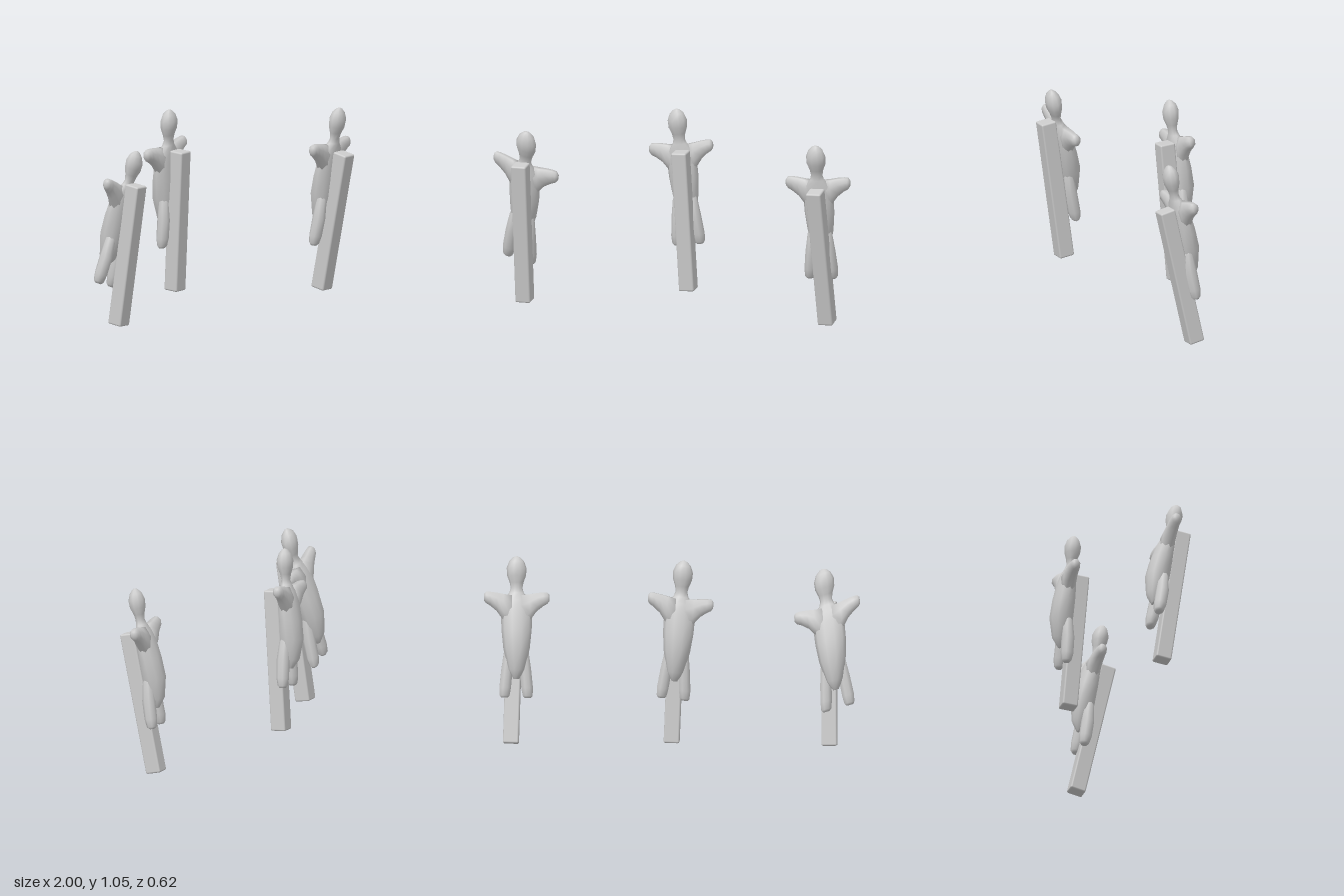
import * as THREE from 'three';
import { RoundedBoxGeometry } from 'three/addons/geometries/RoundedBoxGeometry.js';

const X = new THREE.Vector3(1, 0, 0), Y = new THREE.Vector3(0, 1, 0), Z = new THREE.Vector3(0, 0, 1);
const vec = (a) => new THREE.Vector3(...a);

// Closed skin over elliptical rings [x, y, z, ru, rv]; u cross v points along the path
function loft(rings, u, v, sides) {
  const pos = [], index = [], last = rings.length - 1;
  for (const [x, y, z, ru, rv] of rings) {
    for (let j = 0; j < sides; j++) {
      const a = ((j + 0.5) / sides) * Math.PI * 2;
      const p = new THREE.Vector3(x, y, z)
        .addScaledVector(u, ru * Math.cos(a)).addScaledVector(v, rv * Math.sin(a));
      pos.push(p.x, p.y, p.z);
    }
  }
  pos.push(...rings[0].slice(0, 3), ...rings[last].slice(0, 3));
  const c0 = rings.length * sides;
  for (let j = 0; j < sides; j++) {
    const k = (j + 1) % sides;
    for (let i = 0; i < last; i++) {
      const a = i * sides + j, b = i * sides + k;
      index.push(a, b, b + sides, a, b + sides, a + sides);
    }
    index.push(c0, k, j, c0 + 1, last * sides + j, last * sides + k);
  }
  const g = new THREE.BufferGeometry();
  g.setAttribute('position', new THREE.Float32BufferAttribute(pos, 3));
  g.setIndex(index);
  g.computeVertexNormals();
  return g;
}

// Head, neck and torso profile: [height, front z, back z, half width]
const PROFILE = [
  [0.10, -0.018, -0.035, 0.014], [0.15, 0.018, -0.070, 0.042], [0.26, 0.032, -0.092, 0.068],
  [0.36, 0.031, -0.084, 0.078], [0.46, 0.028, -0.067, 0.080], [0.515, 0.024, -0.050, 0.066],
  [0.55, 0.020, -0.034, 0.038], [0.575, 0.018, -0.026, 0.030], [0.605, 0.024, -0.031, 0.036],
  [0.64, 0.037, -0.041, 0.049], [0.68, 0.040, -0.044, 0.051], [0.715, 0.028, -0.033, 0.038],
  [0.735, 0.012, -0.015, 0.018],
];

function figureParts() {
  const body = PROFILE.map(([y, f, b, w]) => [0, y, (f + b) / 2, (f - b) / 2 * 1.03, w * 1.03]);
  body.push([0, 0.741, -0.001, 0.003, 0.003]);
  const parts = [['body', loft(body, Z, X, 10)]];
  for (const s of [1, -1]) {
    const side = s > 0 ? 'left' : 'right';
    // Short raised arm, broad at the shoulder
    const arm = [
      [0.025, 0.45, -0.022, 0.095, 0.042], [0.07, 0.475, -0.024, 0.074, 0.038],
      [0.105, 0.502, -0.026, 0.052, 0.033], [0.14, 0.518, -0.027, 0.039, 0.029],
      [0.162, 0.524, -0.027, 0.032, 0.026], [0.173, 0.525, -0.027, 0.018, 0.015],
    ].map(([x, y, z, ry, rz]) => (s > 0 ? [x, y, z, ry, rz] : [-x, y, z, rz, ry]));
    parts.push([side + 'Arm', s > 0 ? loft(arm, Y, Z, 8) : loft(arm, Z, Y, 8)]);
    // Leg splaying outward to a blunt foot
    const leg = [
      [0.062, 0.002, -0.002, 0.016, 0.018], [0.061, 0.014, -0.002, 0.027, 0.028],
      [0.058, 0.055, -0.001, 0.034, 0.033], [0.049, 0.15, -0.001, 0.035, 0.032],
      [0.038, 0.25, -0.008, 0.028, 0.028], [0.032, 0.29, -0.02, 0.012, 0.014],
    ].map(([x, y, z, rz, rx]) => [s * x, y, z, rz, rx]);
    parts.push([side + 'Leg', loft(leg, Z, X, 8)]);
  }
  return parts;
}

// Foot and head-top points, shoulder direction, post bottom and top
const POSES = [
  { name: 'rightFigure', foot: [-0.885, 0.235, 0.005], head: [-0.795, 0.96, 0.155],
    across: [1, -0.29, -0.08], post: [[-0.836, 0.026, 0.06], [-0.827, 0.783, 0.172]] },
  { name: 'middleFigure', foot: [-0.018, 0.32, -0.237], head: [-0.075, 1.06, -0.192],
    across: [1, 0.12, -0.03], post: [[-0.01, 0.083, -0.205], [-0.037, 0.838, -0.148]] },
  { name: 'leftFigure', foot: [0.83, 0.258, 0.118], head: [0.833, 1.0, 0.246],
    across: [1, 0.02, -0.08], post: [[0.857, 0.017, 0.105], [0.84, 0.757, 0.27]] },
];

export function createModel() {
  const model = new THREE.Group();
  const grey = new THREE.MeshStandardMaterial({ color: 0xcccccc });
  const parts = figureParts();
  for (const { name, foot, head, across, post } of POSES) {
    const group = new THREE.Group();
    group.name = name;

    // Figure, skewed into its leaning pose
    const up = vec(head).sub(vec(foot)).divideScalar(0.741);
    const right = vec(across);
    const front = right.clone().cross(up).normalize();
    const pose = new THREE.Matrix4().makeBasis(right, up, front).setPosition(...foot);
    for (const [part, geometry] of parts) {
      const mesh = new THREE.Mesh(geometry.clone().applyMatrix4(pose), grey);
      mesh.name = part;
      group.add(mesh);
    }

    // Leaning square post in front of the figure
    const [bottom, top] = post.map(vec);
    const axis = top.clone().sub(bottom);
    const beam = new THREE.Mesh(new RoundedBoxGeometry(0.083, axis.length(), 0.085, 2, 0.009), grey);
    beam.name = 'post';
    beam.position.copy(bottom).add(top).multiplyScalar(0.5);
    beam.quaternion.setFromUnitVectors(Y, axis.normalize());
    group.add(beam);
    model.add(group);
  }
  return model;
}
